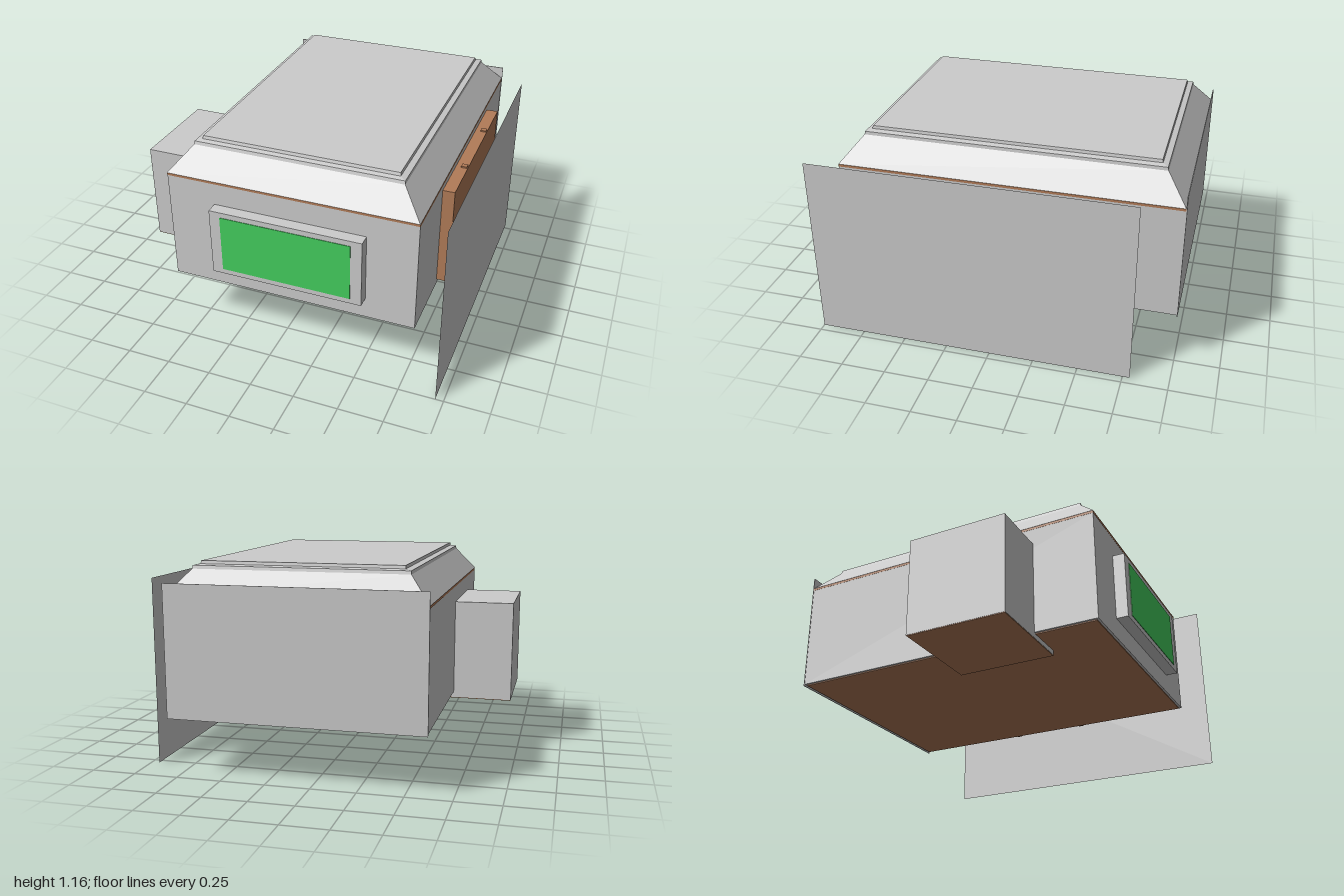
import * as THREE from 'three';

export function createModel() {
  const model = new THREE.Group();
  const grey = new THREE.MeshStandardMaterial({ color: 0xcccccc, side: THREE.DoubleSide });
  const brown = new THREE.MeshStandardMaterial({ color: 0xb27c58 });
  const green = new THREE.MeshStandardMaterial({ color: 0x44cf5e });

  const add = (name, geometry, material) => {
    const mesh = new THREE.Mesh(geometry, material);
    mesh.name = name;
    model.add(mesh);
    return mesh;
  };
  // Box given by its limits on each axis
  const box = (name, [x0, x1], [y0, y1], [z0, z1], material) =>
    add(name, new THREE.BoxGeometry(x1 - x0, y1 - y0, z1 - z0), material)
      .position.set((x0 + x1) / 2, (y0 + y1) / 2, (z0 + z1) / 2);

  // Rectangular rings [x0, x1, z0, z1, y] joined from bottom to top, then capped
  const steppedSolid = (rings) => {
    const p = [];
    const corners = ([x0, x1, z0, z1, y]) => [[x0, y, z1], [x1, y, z1], [x1, y, z0], [x0, y, z0]];
    const quad = (a, b, c, d) => p.push(...a, ...b, ...c, ...a, ...c, ...d);
    for (let i = 0; i < rings.length - 1; i++) {
      const lo = corners(rings[i]), hi = corners(rings[i + 1]);
      for (let k = 0; k < 4; k++) {
        const n = (k + 1) % 4;
        quad(lo[k], lo[n], hi[n], hi[k]);
      }
    }
    quad(...corners(rings[rings.length - 1]));
    quad(...corners(rings[0]).reverse());
    const g = new THREE.BufferGeometry();
    g.setAttribute('position', new THREE.Float32BufferAttribute(p, 3));
    g.computeVertexNormals();
    return g;
  };

  // Main building with its floor and eave band
  box('walls', [-0.618, 0.79], [0.335, 0.97], [-0.995, 0.88], grey);
  box('floor', [-0.605, 0.777], [0.329, 0.335], [-0.985, 0.867], brown);
  box('eaveBand', [-0.619, 0.791], [0.97, 0.984], [-0.995, 0.881], brown);
  box('backPanel', [-0.62, 0.793], [0.325, 1.055], [-1, -0.995], grey);

  // Sloped roof with a raised flat slab
  add('roof', steppedSolid([
    [-0.62, 0.79, -0.995, 0.882, 0.984],
    [-0.505, 0.672, -0.882, 0.768, 1.122],
    [-0.503, 0.67, -0.878, 0.763, 1.14],
    [-0.47, 0.638, -0.848, 0.735, 1.146],
    [-0.468, 0.635, -0.845, 0.73, 1.163],
  ]), grey);

  // Side annex, which reaches a little into and below the main building
  box('annex', [-0.955, -0.375], [0.302, 0.877], [-0.06, 0.52], grey);
  box('annexFloor', [-0.953, -0.377], [0.298, 0.302], [-0.058, 0.518], brown);

  // Framed front window
  box('windowFrame', [-0.345, 0.515], [0.455, 0.845], [0.88, 0.948], grey);
  box('windowPane', [-0.283, 0.453], [0.485, 0.815], [0.945, 0.951], green);

  // Side door with small pegs above and below
  box('door', [0.79, 0.857], [0.363, 0.942], [-0.58, 0.46], brown);
  for (const z of [-0.293, 0.17])
    for (const y of [0.355, 0.942])
      box('doorPeg', [0.82, 0.852], [y, y + 0.008], [z - 0.016, z + 0.016], brown);

  // Free-standing screen beside the building
  const screen = add('sideScreen', new THREE.PlaneGeometry(1.79, 1.055), grey);
  screen.rotation.y = Math.PI / 2;
  screen.position.set(0.955, 0.5275, 0.105);

  return model;
}
